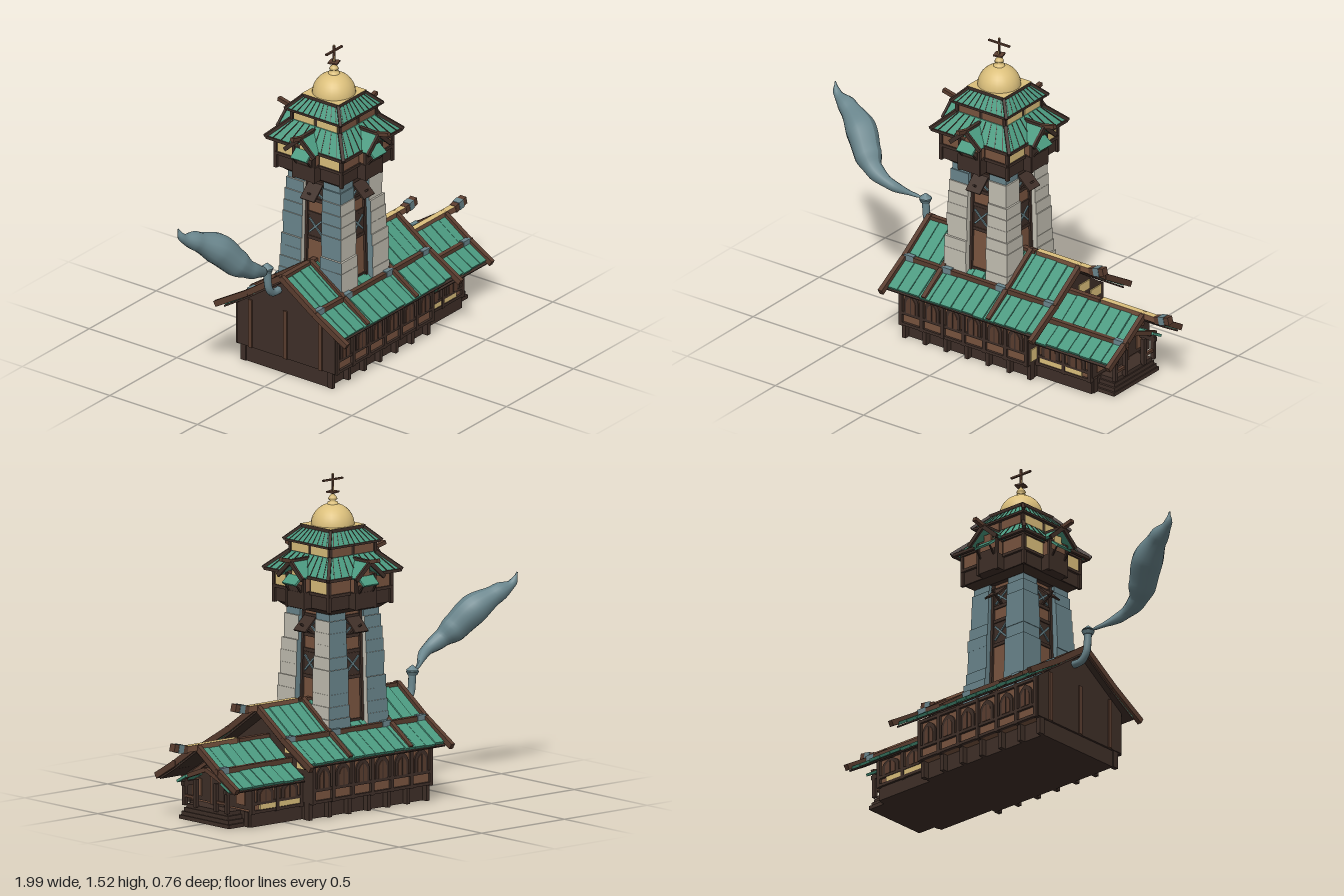
import * as THREE from 'three';

const material = (name, color) => {
  const m = new THREE.MeshStandardMaterial({ color });
  m.name = name;
  return m;
};
const dark = material('dark timber', 0x3f2f28);
const brown = material('brown timber', 0x79543f);
const trim = material('roof beam', 0x5a3d2f);
const green = material('green roof tile', 0x4b9a80);
const gold = material('gold plaster', 0xdcc07c);
const stone = material('pale stone', 0xc4c0b3);
const blue = material('blue grey', 0x6a868d);

let seed = 7;
const rnd = () => (seed = (seed * 16807) % 2147483647) / 2147483647;
const V = (x, y, z) => new THREE.Vector3(x, y, z);

function add(parent, name, geo, mat, x = 0, y = 0, z = 0) {
  const m = new THREE.Mesh(geo, mat);
  m.name = name;
  m.position.set(x, y, z);
  parent.add(m);
  return m;
}
const box = (parent, name, mat, w, h, d, x, y, z) => add(parent, name, new THREE.BoxGeometry(w, h, d), mat, x, y, z);

// Bar between two points, w wide and h thick
function beam(parent, name, mat, a, b, w, h) {
  const m = box(parent, name, mat, w, h, a.distanceTo(b), 0, 0, 0);
  m.position.copy(a).add(b).multiplyScalar(0.5);
  m.quaternion.setFromRotationMatrix(new THREE.Matrix4().lookAt(b, a, V(0, 1, 0)));
  return m;
}
function group(parent, name) {
  const g = new THREE.Group();
  g.name = name;
  parent.add(g);
  return g;
}
// Square frustum given half widths
function frustum(parent, name, mat, bottom, top, y0, y1) {
  const g = new THREE.CylinderGeometry(top * Math.SQRT2, bottom * Math.SQRT2, y1 - y0, 4).toNonIndexed();
  g.rotateY(Math.PI / 4);
  g.computeVertexNormals();
  return add(parent, name, g, mat, 0, (y0 + y1) / 2, 0);
}
function archGeometry(w, h) {
  const s = new THREE.Shape();
  s.moveTo(-w / 2, 0).lineTo(w / 2, 0).lineTo(w / 2, h * 0.6);
  s.quadraticCurveTo(w * 0.45, h * 0.85, 0, h);
  s.quadraticCurveTo(-w * 0.45, h * 0.85, -w / 2, h * 0.6);
  return new THREE.ExtrudeGeometry(s, { depth: 0.008, bevelEnabled: false, curveSegments: 4 });
}
// Pointed end wall across z
function gableWall(parent, name, mat, x, half, eave, ridge, depth = 0.02) {
  const s = new THREE.Shape();
  s.moveTo(-half, 0.08).lineTo(half, 0.08).lineTo(half, eave).lineTo(0, ridge).lineTo(-half, eave);
  const g = new THREE.ExtrudeGeometry(s, { depth, bevelEnabled: false }).rotateY(Math.PI / 2);
  add(parent, name, g, mat, x, 0, 0);
}

// Curved gable roof: rows of tiles, purlins, rafters and a horned ridge
function gableRoof(parent, name, x0, x1, prof, rafters, ridgeEnd) {
  const g = group(parent, name);
  const n = Math.round((x1 - x0) / 0.06), w = (x1 - x0) / n;
  for (const s of [-1, 1]) {
    for (let k = 0; k < 2; k++) {
      const [z0, y0] = prof[k], [z1, y1] = prof[k + 1];
      beam(g, 'roofBoarding', dark, V((x0 + x1) / 2, y0 - 0.016, s * z0), V((x0 + x1) / 2, y1 - 0.016, s * z1), x1 - x0, 0.008);
      for (let i = 0; i < n; i++) {
        const t = k ? 0.97 + rnd() * 0.05 : 1, x = x0 + (i + 0.5) * w, lift = rnd() * 0.006 - 0.006;
        const end = V(x, y0 + (y1 - y0) * t + lift, s * (z0 + (z1 - z0) * t));
        beam(g, 'roofTile', green, V(x, y0 + lift, s * z0), end, w - 0.004, 0.014);
      }
    }
    const [pz, py] = prof[1];
    box(g, 'purlin', trim, x1 - x0 + 0.02, 0.024, 0.022, (x0 + x1) / 2, py + 0.008, s * pz);
    for (const [x, ext] of rafters) {
      const [ez, ey] = prof[2], end = V(x, ey - 0.3 * ext, s * (ez + ext));
      beam(g, 'rafter', trim, V(x, prof[0][1] + 0.005, 0), V(x, py + 0.008, s * pz), 0.022, 0.028);
      beam(g, 'rafter', trim, V(x, py + 0.008, s * pz), end, 0.022, 0.028);
      box(g, 'joint', blue, 0.05, 0.03, 0.024, x + (x < 0 ? 0.03 : -0.03), py + 0.01, s * pz);
    }
  }
  const y = prof[0][1], mats = [brown, brown, gold, dark, brown, brown];
  beam(g, 'ridge', trim, V(x0, y, 0), V(x1 - 0.25, y, 0), 0.026, 0.022);
  box(g, 'ridgeBeam', mats, ridgeEnd - x1 + 0.18, 0.028, 0.03, (ridgeEnd + x1 - 0.3) / 2, y + 0.002, 0);
  beam(g, 'ridgeHorn', trim, V(ridgeEnd - 0.08, y, 0), V(ridgeEnd, y + 0.018, 0), 0.034, 0.036);
  beam(g, 'ridgeBand', blue, V(ridgeEnd - 0.055, y + 0.006, 0), V(ridgeEnd - 0.025, y + 0.012, 0), 0.038, 0.04);
}

// Long side with arched windows between posts
function windowWall(parent, x0, x1, n, z, y0, y1) {
  const w = (x1 - x0) / n, arch = archGeometry(w * 0.66, (y1 - y0) * 0.6), pane = archGeometry(w * 0.42, (y1 - y0) * 0.46);
  for (const s of [-1, 1]) {
    const g = group(parent, 'windowWall');
    g.rotation.y = s < 0 ? Math.PI : 0;
    for (let i = 0; i <= n; i++) {
      const x = s * (x0 + i * w);
      box(g, 'post', dark, 0.018, y1 - y0 + 0.02, 0.02, x, (y0 + y1) / 2, z);
      box(g, 'footPost', dark, 0.02, y0, 0.03, x, y0 / 2, z - 0.03);
      if (i === n) break;
      add(g, 'windowFrame', arch, dark, x + s * w / 2, y0 + (y1 - y0) * 0.32, z);
      add(g, 'windowPane', pane, trim, x + s * w / 2, y0 + (y1 - y0) * 0.34, z + 0.003);
      box(g, 'mullion', dark, 0.006, (y1 - y0) * 0.44, 0.01, x + s * w / 2, y0 + (y1 - y0) * 0.56, z + 0.008);
    }
    for (const y of [y0, y0 + (y1 - y0) * 0.3, y1])
      box(g, 'rail', dark, x1 - x0, 0.014, 0.018, s * (x0 + x1) / 2, y, z);
  }
}

function buildHall(root) {
  const g = group(root, 'mainHall');
  box(g, 'base', dark, 0.72, 0.085, 0.47, 0.03, 0.0425, 0);
  box(g, 'walls', brown, 0.7, 0.2, 0.55, 0.03, 0.18, 0);
  windowWall(g, -0.325, 0.385, 6, 0.278, 0.085, 0.268);
  gableWall(g, 'backGable', dark, -0.34, 0.28, 0.28, 0.47);
  gableWall(g, 'frontGable', dark, 0.375, 0.28, 0.28, 0.47);
  for (const z of [-0.2, 0, 0.2]) box(g, 'gablePost', trim, 0.01, 0.24, 0.02, -0.342, 0.2, z);
  // Plaster fields of the front gable
  const fields = [[gold, -0.14, 0.315, 0.08, 0.045], [gold, -0.225, 0.255, 0.08, 0.045], [brown, 0.12, 0.31, 0.1, 0.04],
    [brown, 0.225, 0.23, 0.07, 0.08], [gold, 0.235, 0.125, 0.06, 0.06]];
  for (const [m, z, y, w, h] of fields) box(g, 'plasterField', m, 0.008, h, w, 0.397, y, z);
  gableRoof(g, 'mainRoof', -0.37, 0.48, [[0, 0.495], [0.19, 0.362], [0.33, 0.275]],
    [[-0.372, 0.045], [-0.16, 0], [0.205, 0], [0.478, 0.045]], 0.62);

  const l = group(root, 'lowHall');
  box(l, 'base', dark, 0.32, 0.07, 0.42, 0.54, 0.035, 0);
  box(l, 'walls', brown, 0.31, 0.135, 0.42, 0.54, 0.135, 0);
  windowWall(l, 0.4, 0.695, 2, 0.212, 0.07, 0.2);
  for (const s of [-1, 1]) box(l, 'plasterStrip', gold, 0.24, 0.024, 0.008, 0.53, 0.09, s * 0.214);
  gableWall(l, 'gable', dark, 0.685, 0.21, 0.2, 0.34);
  box(l, 'doorFrame', trim, 0.02, 0.14, 0.12, 0.7, 0.13, 0);
  box(l, 'door', dark, 0.02, 0.13, 0.08, 0.704, 0.13, 0);
  for (const s of [-1, 1]) {
    box(l, 'gableField', brown, 0.008, 0.08, 0.06, 0.708, 0.14, s * 0.15);
    beam(l, 'gableBrace', trim, V(0.708, 0.31, 0), V(0.708, 0.205, s * 0.17), 0.012, 0.016);
  }
  gableRoof(l, 'lowRoof', 0.41, 0.845, [[0, 0.358], [0.145, 0.258], [0.25, 0.197]], [[0.84, 0.025]], 0.99);

  // Entrance porch
  const p = group(root, 'porch');
  for (let i = 0; i < 4; i++) box(p, 'step', dark, 0.1 - i * 0.006, 0.018, 0.34 - i * 0.02, 0.748 - i * 0.003, 0.009 + i * 0.018, 0);
  for (const s of [-1, 1]) {
    for (const z of [0.07, 0.145]) box(p, 'porchPost', dark, 0.018, 0.13, 0.018, 0.785, 0.13, s * z);
    box(p, 'handrail', trim, 0.015, 0.012, 0.08, 0.785, 0.11, s * 0.108);
    box(p, 'sideLintel', dark, 0.11, 0.02, 0.018, 0.745, 0.165, s * 0.145);
    beam(p, 'porchTile', green, V(0.755, 0.205, s * 0.12), V(0.755, 0.172, s * 0.18), 0.1, 0.012);
    beam(p, 'porchGable', trim, V(0.785, 0.25, 0), V(0.785, 0.19, s * 0.16), 0.016, 0.02);
  }
}

function buildTower(root) {
  const g = group(root, 'tower');
  g.position.x = 0.02;
  frustum(g, 'core', dark, 0.135, 0.115, 0.25, 0.94);
  // Corner piers of rough stone courses
  const rows = 12;
  for (const sx of [-1, 1]) for (const sz of [-1, 1]) for (let i = 0; i < rows; i++) {
    const y = 0.26 + (i + 0.5) * 0.67 / rows, out = 0.188 - 0.036 * i / (rows - 1) + rnd() * 0.008 - 0.004, w = out - 0.056;
    const old = y > (sx < 0 && sz > 0 ? 0.83 : 0.88);
    box(g, 'pierStone', old ? blue : [stone, blue, stone, blue, stone, blue], w, 0.67 / rows, w, sx * (0.056 + w / 2), y, sz * (0.056 + w / 2));
  }
  for (let k = 0; k < 4; k++) {
    const s = group(g, 'towerSide'), panel = k % 2 ? gold : brown;
    s.rotation.y = k * Math.PI / 2;
    // Timber bay between the piers
    beam(s, 'bayPanel', brown, V(0, 0.36, 0.136), V(0, 0.92, 0.119), 0.085, 0.012);
    for (const x of [-0.05, 0.05]) beam(s, 'bayPost', dark, V(x, 0.36, 0.143), V(x, 0.93, 0.125), 0.014, 0.02);
    for (const y of [0.4, 0.6, 0.72, 0.79, 0.88]) box(s, 'bayRail', dark, 0.1, 0.016, 0.02, 0, y, 0.137 - (y - 0.4) * 0.03);
    for (const [y, h, m] of [[0.66, 0.07, blue], [0.835, 0.055, blue]]) {
      const z = 0.146 - (y - 0.4) * 0.035;
      box(s, 'window', dark, 0.085, h + 0.03, 0.008, 0, y, z - 0.006);
      for (const d of [-1, 1]) beam(s, 'windowCross', m, V(-0.035, y - d * h / 2, z), V(0.035, y + d * h / 2, z), 0.008, 0.008);
    }
    beam(s, 'shutter', dark, V(0, 0.875, 0.135), V(0, 0.815, 0.2), 0.08, 0.008);
    beam(s, 'shutterStay', dark, V(0, 0.8, 0.13), V(0, 0.85, 0.195), 0.01, 0.008);
    // Gallery side with its projecting bay
    for (const x of [-0.12, 0.12]) box(s, 'galleryPanel', panel, 0.115, 0.07, 0.008, x, 1.035, 0.186);
    for (const x of [-0.187, 0.187]) box(s, 'galleryPost', dark, 0.016, 0.17, 0.016, x, 1.01, 0.187);
    box(s, 'galleryRail', dark, 0.38, 0.014, 0.02, 0, 1.0, 0.187);
    box(s, 'galleryRail', dark, 0.38, 0.014, 0.02, 0, 1.078, 0.187);
    box(s, 'bayBase', dark, 0.13, 0.075, 0.06, 0, 0.967, 0.2);
    box(s, 'bayBody', brown, 0.11, 0.09, 0.06, 0, 1.045, 0.193);
    for (const x of [-0.056, 0.056]) box(s, 'bayPost', dark, 0.012, 0.16, 0.014, x, 1.005, 0.224);
    box(s, 'bayWindow', dark, 0.09, 0.035, 0.006, 0, 1.02, 0.225);
    box(s, 'bayGable', panel, 0.045, 0.04, 0.01, 0, 1.095, 0.221);
    beam(s, 'awning', green, V(0, 1.075, 0.222), V(0, 1.04, 0.265), 0.09, 0.01);
    for (const x of [-0.04, 0.04]) beam(s, 'awningStay', dark, V(x, 1.0, 0.225), V(x, 1.045, 0.26), 0.006, 0.006);
    // Dormer roof with a horned ridge
    for (const d of [-1, 1]) {
      const m = beam(s, 'dormerTile', green, V(0, 1.142, 0.195), V(d * 0.08, 1.075, 0.195), 0.12, 0.012);
      m.name = 'dormerTile';
      beam(s, 'dormerVerge', dark, V(0, 1.145, 0.257), V(d * 0.085, 1.07, 0.257), 0.012, 0.02);
    }
    beam(s, 'dormerRidge', dark, V(0, 1.148, 0.13), V(0, 1.146, 0.25), 0.018, 0.016);
    beam(s, 'dormerHorn', trim, V(0, 1.144, 0.24), V(0, 1.162, 0.315), 0.02, 0.018);
    // Roof seams, hips and lantern panels
    for (let i = -4; i <= 4; i++) {
      beam(s, 'roofSeam', dark, V(i * 0.046, 1.083, 0.221), V(i * 0.031, 1.162, 0.142), 0.003, 0.004);
      beam(s, 'roofSeam', dark, V(i * 0.032, 1.216, 0.151), V(i * 0.021, 1.274, 0.1), 0.003, 0.004);
    }
    beam(s, 'hip', dark, V(0.225, 1.082, 0.225), V(0.14, 1.165, 0.14), 0.016, 0.014);
    beam(s, 'hip', dark, V(0.16, 1.216, 0.16), V(0.1, 1.278, 0.1), 0.014, 0.012);
    box(s, 'eave', dark, 0.44, 0.014, 0.014, 0, 1.078, 0.217);
    for (const x of [-0.066, 0.066]) box(s, 'lanternPanel', panel, 0.115, 0.045, 0.008, x, 1.188, 0.135);
    box(s, 'lanternPost', dark, 0.014, 0.06, 0.016, 0.135, 1.188, 0.135);
  }
  frustum(g, 'corbel', dark, 0.15, 0.185, 0.905, 0.935);
  box(g, 'galleryBody', dark, 0.37, 0.16, 0.37, 0, 1.01, 0);
  frustum(g, 'galleryRoof', green, 0.222, 0.14, 1.08, 1.163);
  box(g, 'lantern', dark, 0.27, 0.07, 0.27, 0, 1.185, 0);
  box(g, 'lanternEave', dark, 0.31, 0.01, 0.31, 0, 1.212, 0);
  frustum(g, 'lanternRoof', green, 0.152, 0.098, 1.215, 1.276);
  box(g, 'domePlinth', [dark, dark, gold, dark, dark, dark], 0.21, 0.016, 0.21, 0, 1.279, 0);
  // Dome and finial
  add(g, 'dome', new THREE.SphereGeometry(0.1, 24, 10, 0, Math.PI * 2, 0, Math.PI / 2), gold, 0, 1.283, 0);
  const knob = [[0.028, 1.375], [0.024, 1.388], [0.01, 1.394], [0.022, 1.402], [0.018, 1.412], [0.005, 1.425], [0.004, 1.52], [0, 1.522]];
  add(g, 'finial', new THREE.LatheGeometry(knob.map(([r, y]) => new THREE.Vector2(r, y)), 12), gold);
  box(g, 'spire', trim, 0.009, 0.1, 0.009, 0, 1.468, 0);
  box(g, 'crossArm', trim, 0.12, 0.008, 0.01, 0, 1.492, 0);
  box(g, 'smallArm', trim, 0.045, 0.007, 0.045, 0, 1.435, 0).rotation.y = 0.3;
}

function buildChimney(root) {
  const g = group(root, 'chimney'), z = -0.04;
  const pipe = new THREE.CatmullRomCurve3([V(-0.34, 0.415, z), V(-0.385, 0.418, z), V(-0.415, 0.45, z), V(-0.427, 0.54, z)]);
  add(g, 'pipe', new THREE.TubeGeometry(pipe, 16, 0.018, 10), blue);
  add(g, 'cap', new THREE.CylinderGeometry(0.03, 0.022, 0.018, 8), blue, -0.427, 0.545, z);
  add(g, 'hood', new THREE.ConeGeometry(0.03, 0.025, 8), blue, -0.427, 0.572, z);
  // Smoke plume: a tube swelling and thinning along its path
  const path = new THREE.CatmullRomCurve3([V(-0.44, 0.555, -0.04), V(-0.48, 0.568, -0.02), V(-0.57, 0.615, 0.035), V(-0.66, 0.66, 0.035),
    V(-0.72, 0.71, 0.005), V(-0.79, 0.79, -0.04), V(-0.9, 0.86, -0.085), V(-0.975, 0.9, -0.105), V(-0.995, 0.95, -0.115)]);
  const radii = [0.004, 0.01, 0.026, 0.042, 0.065, 0.073, 0.045, 0.02, 0.003], N = 48, R = 12;
  const geo = new THREE.TubeGeometry(path, N, 1, R), pos = geo.attributes.position, p = V(0, 0, 0);
  for (let i = 0; i <= N; i++) {
    const t = path.getUtoTmapping(i / N) * 8, k = Math.min(7, Math.floor(t));
    const r = THREE.MathUtils.lerp(radii[k], radii[k + 1], THREE.MathUtils.smoothstep(t - k, 0, 1)), c = path.getPointAt(i / N);
    for (let j = 0; j <= R; j++) {
      const q = i * (R + 1) + j;
      p.fromBufferAttribute(pos, q).sub(c).multiplyScalar(r).add(c);
      pos.setXYZ(q, p.x, p.y, p.z);
    }
  }
  geo.computeVertexNormals();
  add(g, 'smoke', geo, blue);
}

export function createModel() {
  const root = new THREE.Group();
  root.name = 'towerHall';
  buildHall(root);
  buildTower(root);
  buildChimney(root);
  return root;
}
